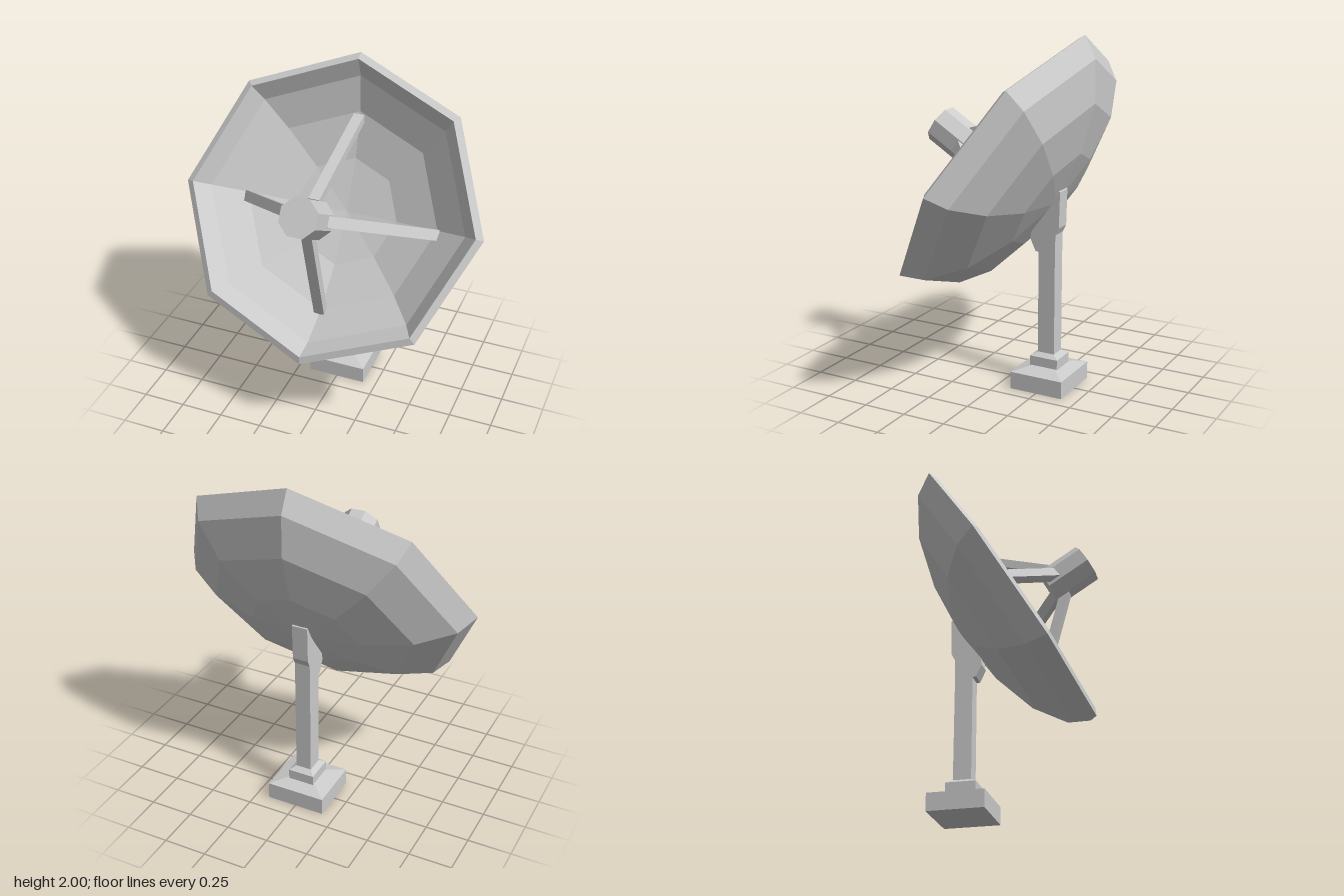
import * as THREE from 'three';

const material = new THREE.MeshStandardMaterial({ color: 0xcccccc, flatShading: true });

function part(name, geometry, parent) {
  const mesh = new THREE.Mesh(geometry, material);
  mesh.name = name;
  parent.add(mesh);
  return mesh;
}

const points = (list) => list.map(([x, y]) => new THREE.Vector2(x, y));

// Square stepped solid from [halfWidth, height] pairs, with its own depth ratio
function squareLathe(profile, depthRatio) {
  const pts = points(profile.map(([w, y]) => [w * Math.SQRT2, y]));
  return new THREE.LatheGeometry(pts, 4, Math.PI / 4).scale(1, 1, depthRatio);
}

// Rectangular bar between two points
function bar(name, from, to, width, height, parent) {
  const mesh = part(name, new THREE.BoxGeometry(width, height, from.distanceTo(to)), parent);
  parent.remove(mesh);
  mesh.position.lerpVectors(from, to, 0.5);
  mesh.lookAt(to);
  parent.add(mesh);
}

export function createModel() {
  const model = new THREE.Group();
  model.name = 'satelliteDish';

  // Pedestal: square foot, collar and mast
  const pedestal = new THREE.Group();
  pedestal.name = 'pedestal';
  pedestal.position.z = -0.25;
  model.add(pedestal);
  part('foot', squareLathe([[0, 0], [0.172, 0], [0.172, 0.1], [0.08, 0.125], [0, 0.125]], 0.924), pedestal);
  part('collar', squareLathe([[0, 0.12], [0.077, 0.12], [0.077, 0.18], [0.046, 0.2], [0, 0.2]], 1.1), pedestal);
  part('mast', squareLathe([[0, 0.19], [0.046, 0.19], [0.046, 0.8], [0, 0.8]], 1.1), pedestal);

  // Angled bracket joining mast and dish, drawn as a (z, y) side profile
  const side = new THREE.Shape(points([
    [-0.302, 0.79], [-0.2, 0.79], [-0.18, 0.794], [-0.148, 0.862], [-0.155, 0.914],
    [-0.316, 1.155], [-0.328, 1.148], [-0.323, 0.942], [-0.302, 0.9],
  ]));
  const bracket = new THREE.ExtrudeGeometry(side, { depth: 0.092, bevelEnabled: false });
  bracket.translate(0, 0, -0.046).rotateY(-Math.PI / 2);
  part('bracket', bracket, model);

  // Tilted head: local y is the dish axis, local -z points up the dish
  const head = new THREE.Group();
  head.name = 'dishHead';
  head.position.set(0, 1.2575, 0.02);
  head.rotation.x = 1.016;
  model.add(head);

  // Eight-sided dish shell: outside from the back centre to the rim, then inside
  part('dish', new THREE.LatheGeometry(points([
    [0, -0.355], [0.326, -0.325], [0.603, -0.245], [0.803, -0.119], [0.873, 0],
    [0.832, 0.02], [0.755, -0.075], [0.57, -0.195], [0.31, -0.28], [0, -0.31],
  ]), 8), head);

  // Feed horn
  const horn = new THREE.CylinderGeometry(0.112, 0.112, 0.26, 8).rotateY(Math.PI / 8);
  part('feedHorn', horn, head).position.set(0, 0.34, 0.064);

  // Four struts from dish to feed horn
  ['lowerStrut', 'leftStrut', 'upperStrut', 'rightStrut'].forEach((name, i) => {
    const s = Math.round(Math.sin(i * Math.PI / 2));
    const c = Math.round(Math.cos(i * Math.PI / 2));
    const inner = new THREE.Vector3(0.085 * s, 0.275, 0.06 + 0.085 * c);
    const outer = new THREE.Vector3(0.57 * s, -0.2, 0.025 + 0.56 * c);
    bar(name, inner, outer, 0.062, 0.05, head);
  });

  return model;
}
